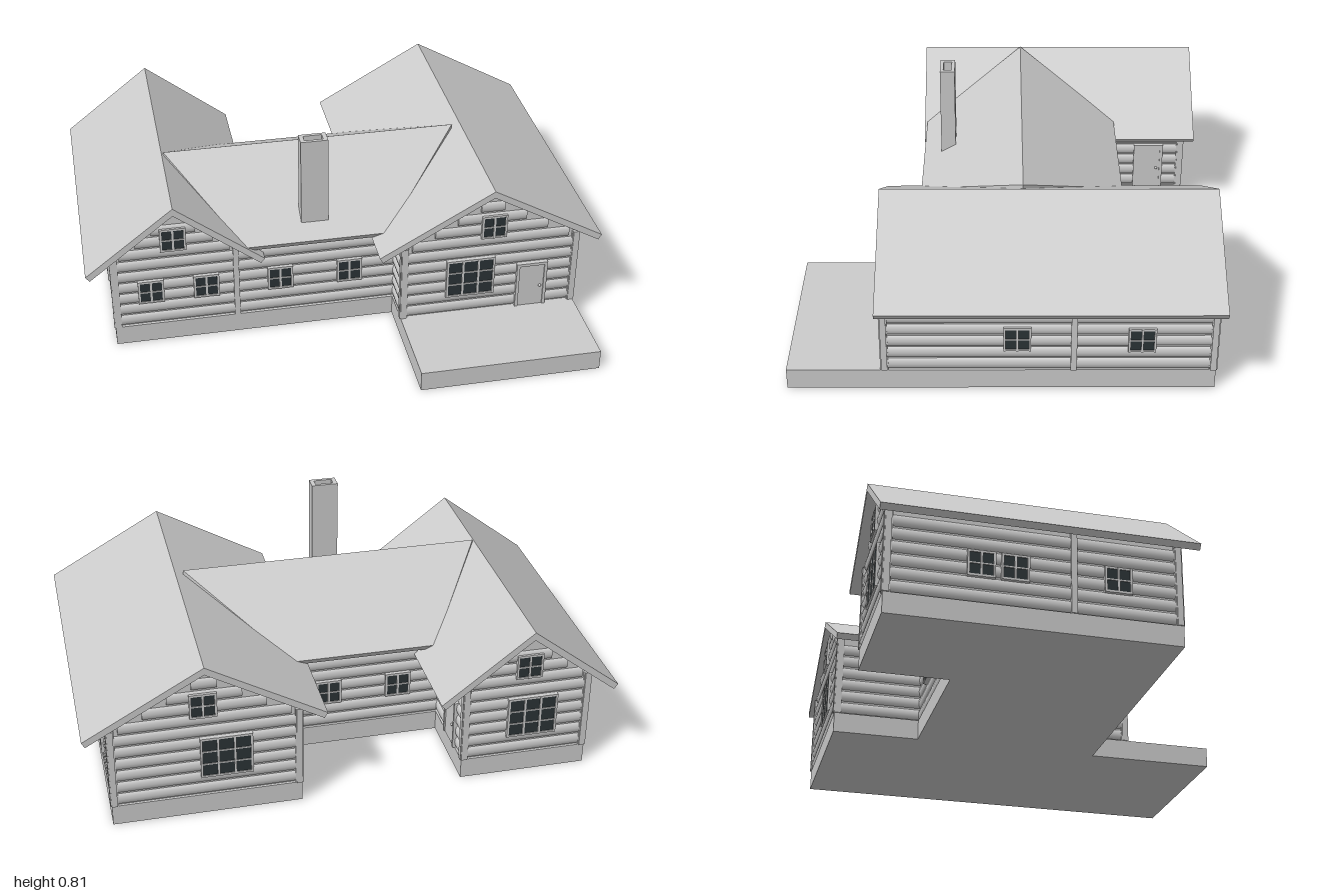
import * as THREE from 'three';

const grey = new THREE.MeshStandardMaterial({ color: 0xcccccc });
const glass = new THREE.MeshStandardMaterial({ color: 0x2b3336 });
const BASE = 0.08; // top of the plinth

function add(parent, name, geometry, x = 0, y = 0, z = 0, material = grey) {
  const mesh = new THREE.Mesh(geometry, material);
  mesh.name = name;
  mesh.position.set(x, y, z);
  parent.add(mesh);
  return mesh;
}
const box = (w, h, d) => new THREE.BoxGeometry(w, h, d);
const polygon = (pts) => new THREE.Shape(pts.map(([x, y]) => new THREE.Vector2(x, y)));
const extrude = (shape, depth) => new THREE.ExtrudeGeometry(shape, { depth, bevelEnabled: false });

// Box given by its extents
function block(parent, name, x0, x1, y0, y1, z0, z1) {
  add(parent, name, box(x1 - x0, y1 - y0, z1 - z0), (x0 + x1) / 2, (y0 + y1) / 2, (z0 + z1) / 2);
}

// Chevron roof section with eaves cut square to the slope
function roofShape(half, ridge, eave, t = 0.025) {
  const a = Math.atan2(ridge - eave, half);
  const u = half - t * Math.sin(a), v = eave - t * Math.cos(a);
  return polygon([[-half, eave], [-u, v], [0, ridge - t / Math.cos(a)], [u, v], [half, eave], [0, ridge]]);
}

// Dark pane with a grid of glazing bars
function windowUnit(parent, x, y, w = 0.092, h = 0.092, cols = 2, rows = 2) {
  const g = new THREE.Group();
  g.name = 'window';
  g.position.set(x, y, 0);
  add(g, 'pane', box(w, h, 0.03), 0, 0, 0, glass);
  for (let i = 0; i <= cols; i++) {
    add(g, 'uprightBar', box(0.008, h + 0.008, 0.038), (i / cols - 0.5) * w, 0, 0);
  }
  for (let j = 0; j <= rows; j++) {
    add(g, 'crossBar', box(w, j % rows ? 0.005 : 0.008, 0.036), 0, (j / rows - 0.5) * h, 0);
  }
  parent.add(g);
}

// Door leaf in a casing, standing on the plinth
function doorUnit(parent, x) {
  const g = new THREE.Group();
  g.name = 'door';
  g.position.set(x, BASE, 0);
  add(g, 'doorLeaf', box(0.1, 0.185, 0.028), 0, 0.0925, 0);
  for (const s of [-1, 1]) add(g, 'doorJamb', box(0.012, 0.2, 0.038), s * 0.056, 0.1, 0);
  add(g, 'doorHead', box(0.124, 0.012, 0.038), 0, 0.194, 0);
  add(g, 'doorKnob', new THREE.SphereGeometry(0.006, 8, 6), 0.036, 0.09, 0.018);
  parent.add(g);
}

// Log cladding on one wall. Positions along the wall are model x or z.
const TURN = { front: 0, right: Math.PI / 2, back: Math.PI, left: -Math.PI / 2 };
function facade(parent, dir, plane, a, b, { gable, windows = [], bigWindows = [], doors = [], posts = [a, b] } = {}) {
  const g = new THREE.Group();
  g.name = dir + 'LogWall';
  g.rotation.y = TURN[dir];
  if (dir === 'front' || dir === 'back') g.position.z = plane;
  else g.position.x = plane;
  const s = dir === 'front' || dir === 'left' ? 1 : -1;
  const mid = s * (a + b) / 2;
  const top = gable ? gable.peak - 0.03 : 0.4;
  for (let y = BASE + 0.026; y < top; y += 0.05) {
    const half = gable ? Math.min((b - a) / 2, (gable.peak - y - 0.022) / gable.slope) : (b - a) / 2;
    if (half < 0.02) continue;
    const log = new THREE.CylinderGeometry(1, 1, half * 2, 10);
    log.rotateZ(Math.PI / 2).scale(1, 0.022, 0.011);
    add(g, 'log', log, mid, y, 0);
  }
  for (const p of posts) add(g, 'post', box(0.022, 0.325, 0.03), s * p, BASE + 0.1625, 0);
  for (const [p, y] of windows) windowUnit(g, s * p, y);
  for (const [p, y] of bigWindows) windowUnit(g, s * p, y, 0.185, 0.16, 3, 3);
  for (const p of doors) doorUnit(g, s * p);
  parent.add(g);
}

// Gabled wing running along z: plinth, solid body and roof
function wing(name, { cx, half, z0, z1, roofHalf, ridge, eave, r0, r1, plinthFront }) {
  const g = new THREE.Group();
  g.name = name;
  const slope = (ridge - eave) / roofHalf;
  const peak = ridge - 0.025 * Math.hypot(1, slope) - 0.002;
  const shoulder = peak - half * slope;
  block(g, 'plinth', cx - half - 0.01, cx + half + 0.01, 0, BASE, z0 - 0.01, plinthFront);
  add(g, 'body', extrude(polygon([[-half, BASE], [half, BASE], [half, shoulder], [0, peak], [-half, shoulder]]), z1 - z0), cx, 0, z0);
  add(g, 'roof', extrude(roofShape(roofHalf, ridge, eave), r1 - r0), cx, 0, r0);
  return { g, gable: { peak, slope } };
}

export function createModel() {
  const house = new THREE.Group();
  house.name = 'logHouse';

  // Wing on the -x side
  const W = wing('narrowWing', { cx: -0.657, half: 0.235, z0: -0.755, z1: 0.285, roofHalf: 0.343,
    ridge: 0.627, eave: 0.36, r0: -0.8, r1: 0.337, plinthFront: 0.297 });
  facade(W.g, 'front', 0.285, -0.892, -0.422, { gable: W.gable,
    windows: [[-0.755, 0.235], [-0.54, 0.235], [-0.66, 0.465]] });
  facade(W.g, 'back', -0.755, -0.892, -0.422, { gable: W.gable,
    windows: [[-0.657, 0.465]], bigWindows: [[-0.68, 0.245]] });
  facade(W.g, 'left', -0.892, -0.755, 0.285, { posts: [-0.755, -0.1, 0.285],
    windows: [[-0.43, 0.225], [-0.31, 0.225], [0.06, 0.225]] });
  facade(W.g, 'right', -0.422, -0.755, -0.42, { posts: [-0.755], doors: [-0.62] });
  house.add(W.g);

  // Wider wing on the +x side, whose plinth runs out as the porch
  const E = wing('wideWing', { cx: 0.553, half: 0.342, z0: -0.757, z1: 0.437, roofHalf: 0.443,
    ridge: 0.635, eave: 0.385, r0: -0.785, r1: 0.46, plinthFront: 0.795 });
  facade(E.g, 'front', 0.437, 0.211, 0.895, { gable: E.gable,
    windows: [[0.56, 0.47]], bigWindows: [[0.475, 0.245]], doors: [0.725] });
  facade(E.g, 'back', -0.757, 0.211, 0.895, { gable: E.gable,
    windows: [[0.56, 0.47]], bigWindows: [[0.48, 0.245]] });
  facade(E.g, 'right', 0.895, -0.757, 0.437, { posts: [-0.757, -0.25, 0.437],
    windows: [[-0.045, 0.22], [-0.495, 0.215]] });
  facade(E.g, 'left', 0.211, 0.285, 0.437, { posts: [0.437] });
  facade(E.g, 'left', 0.211, -0.757, -0.42, { posts: [-0.757] });
  house.add(E.g);

  // Link between the wings
  const link = new THREE.Group();
  link.name = 'middleSection';
  block(link, 'plinth', -0.42, 0.21, 0, BASE, -0.43, 0.297);
  block(link, 'body', -0.43, 0.22, BASE, 0.4, -0.42, 0.285);
  const openings = { windows: [[-0.25, 0.235], [0.025, 0.235]], posts: [] };
  facade(link, 'front', 0.285, -0.42, 0.21, openings);
  facade(link, 'back', -0.42, -0.42, 0.21, openings);

  // Cross roof, its ends mitred into the wing roofs
  const cross = extrude(roofShape(0.395, 0.633, 0.41), 1).rotateY(Math.PI / 2);
  const p = cross.attributes.position;
  for (let i = 0; i < p.count; i++) {
    const d = Math.abs(p.getZ(i)) / 0.395;
    p.setX(i, p.getX(i) > 0.5 ? THREE.MathUtils.lerp(0.52, 0.17, d) : THREE.MathUtils.lerp(-0.65, -0.385, d));
  }
  cross.computeVertexNormals();
  add(link, 'crossRoof', cross, 0, 0, -0.068);

  // Hollow chimney on the front slope
  const stack = polygon([[-0.053, -0.029], [0.053, -0.029], [0.053, 0.029], [-0.053, 0.029]]);
  stack.holes.push(polygon([[-0.036, -0.016], [-0.036, 0.016], [0.036, 0.016], [0.036, -0.016]]));
  add(link, 'chimney', extrude(stack, 0.39).rotateX(-Math.PI / 2), -0.104, 0.42, 0.226);
  house.add(link);

  return house;
}
